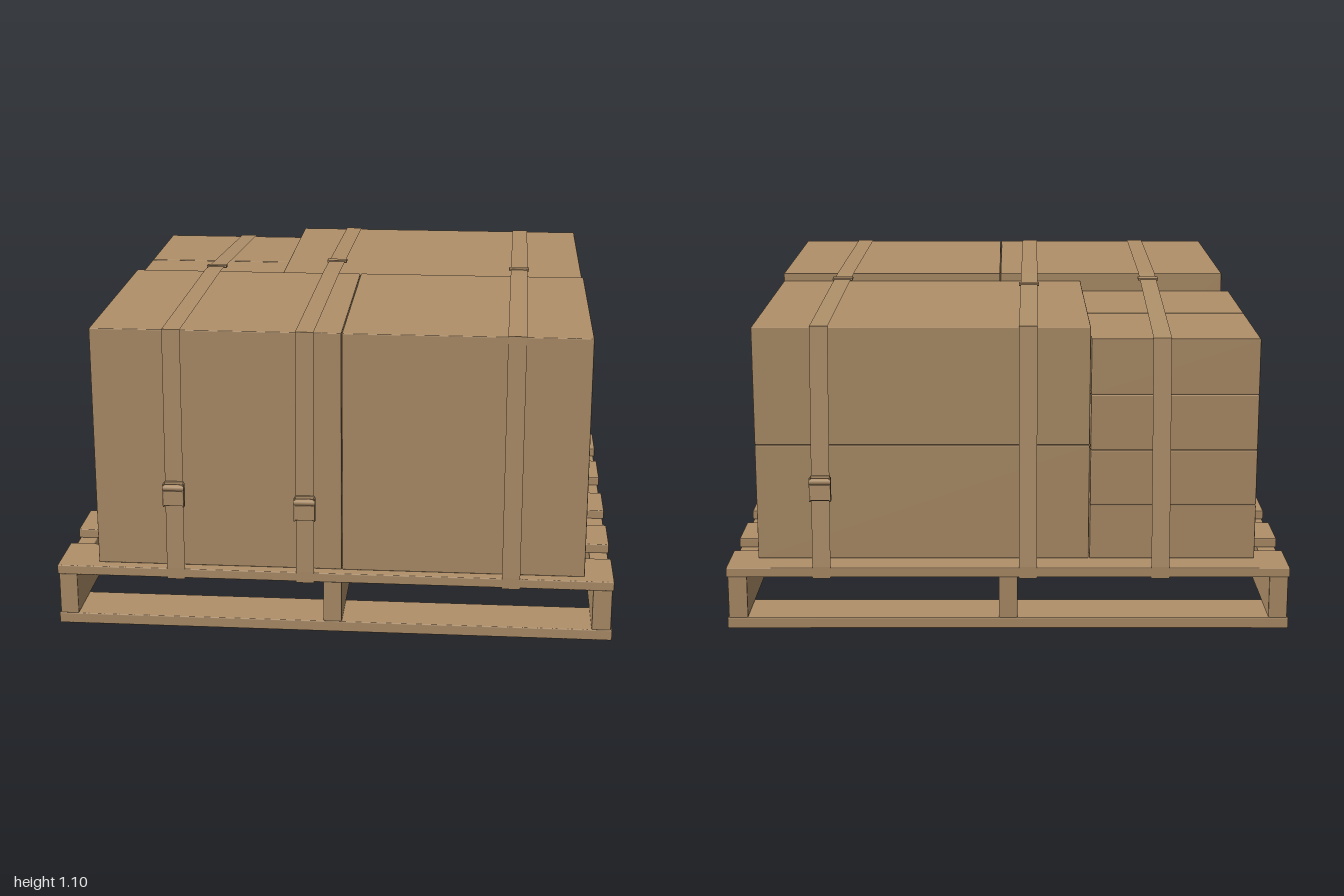
import * as THREE from 'three';
import { RoundedBoxGeometry } from 'three/addons/geometries/RoundedBoxGeometry.js';

const material = new THREE.MeshStandardMaterial({ color: 0xb0906a });
const strapMaterial = new THREE.MeshStandardMaterial({ color: 0xb0906a, side: THREE.DoubleSide });

// Box given by its minimum and maximum on each axis, with slightly worn edges
function block(parent, name, [x0, x1], [y0, y1], [z0, z1], radius = 0.004) {
  const geometry = new RoundedBoxGeometry(x1 - x0, y1 - y0, z1 - z0, 1, radius);
  const mesh = new THREE.Mesh(geometry, material);
  mesh.name = name;
  mesh.position.set((x0 + x1) / 2, (y0 + y1) / 2, (z0 + z1) / 2);
  parent.add(mesh);
  return mesh;
}

// Flat band of constant width in x that follows [x, y, z] centre points
function ribbon(parent, name, points, width) {
  const positions = [];
  const corner = ([x, y, z], side) => [x + side * width / 2, y, z];
  for (let i = 0; i < points.length - 1; i++) {
    const a = corner(points[i], -1), b = corner(points[i], 1);
    const c = corner(points[i + 1], 1), d = corner(points[i + 1], -1);
    positions.push(...a, ...b, ...c, ...a, ...c, ...d);
  }
  const geometry = new THREE.BufferGeometry();
  geometry.setAttribute('position', new THREE.Float32BufferAttribute(positions, 3));
  geometry.computeVertexNormals();
  const mesh = new THREE.Mesh(geometry, strapMaterial);
  mesh.name = name;
  parent.add(mesh);
}

// Ratchet buckle: base, two side cheeks, spindle and handle, facing +z
function buckle(parent, x, y, z, turn, tilt) {
  const group = new THREE.Group();
  group.name = 'ratchetBuckle';
  block(group, 'buckleBase', [-0.034, 0.034], [-0.045, 0.045], [-0.004, 0.006], 0.002);
  for (const s of [-1, 1]) {
    block(group, 'buckleCheek', [s * 0.035 - 0.003, s * 0.035 + 0.003], [-0.045, 0.04], [-0.004, 0.022], 0.002);
  }
  block(group, 'buckleHandle', [-0.034, 0.034], [-0.04, 0.015], [0.014, 0.022], 0.002);
  const spindle = new THREE.Mesh(new THREE.CylinderGeometry(0.012, 0.012, 0.076, 12), material);
  spindle.name = 'buckleSpindle';
  spindle.rotation.z = Math.PI / 2;
  spindle.position.set(0, 0.025, 0.014);
  group.add(spindle);
  group.position.set(x, y, z);
  group.rotation.set(tilt, turn, 0, 'YXZ');
  parent.add(group);
}

function buildPallet() {
  const pallet = new THREE.Group();
  pallet.name = 'pallet';
  const span = [-0.995, 0.995];
  for (const z of [[0.785, 0.98], [-0.105, 0.095], [-0.995, -0.8]]) {
    block(pallet, 'bottomBoard', span, [0, 0.04], z);
  }
  for (const x of [[-0.99, -0.924], [-0.034, 0.032], [0.922, 0.99]]) {
    block(pallet, 'stringer', x, [0.038, 0.192], [-0.992, 0.978]);
  }
  const deck = [[-0.995, -0.795], [-0.655, -0.455], [-0.305, -0.095], [0.08, 0.28], [0.43, 0.63], [0.765, 0.98]];
  for (const z of deck) block(pallet, 'deckBoard', span, [0.19, 0.225], z);
  return pallet;
}

function buildCargo() {
  const cargo = new THREE.Group();
  cargo.name = 'cartons';
  // Two tall cartons at the front
  block(cargo, 'tallCarton', [-0.85, 0.029], [0.225, 1.1], [0.062, 0.94]);
  block(cargo, 'tallCarton', [0.031, 0.892], [0.225, 1.1], [0.06, 0.942]);
  // Two wide cartons stacked behind them
  block(cargo, 'wideCarton', [-0.288, 0.892], [0.228, 0.646], [-0.898, 0.058]);
  block(cargo, 'wideCarton', [-0.288, 0.892], [0.648, 1.07], [-0.898, 0.058]);
  // Two columns of four small cartons
  for (const z of [[-0.898, -0.418], [-0.415, 0.06]]) {
    for (let i = 0; i < 4; i++) {
      const y = 0.228 + i * 0.2005;
      block(cargo, 'smallCarton', [-0.88, -0.291], [y, y + 0.199], z);
    }
  }
  return cargo;
}

function buildStraps() {
  const straps = new THREE.Group();
  straps.name = 'straps';
  // front x, back x, height of the rear edge, z of the end of the upper band
  const layout = [
    [-0.562, -0.537, 1.033, -0.04],
    [-0.098, -0.07, 1.074, -0.165],
    [0.632, 0.657, 1.074, -0.06],
  ];
  for (const [xf, xb, rear, end] of layout) {
    const xAt = (z) => xf + (xb - xf) * (0.945 - z) / 1.845;
    ribbon(straps, 'strap', [
      [xf, 0.188, 0.9], [xf, 0.188, 0.984], [xf, 0.23, 0.984], [xf, 1.103, 0.945],
      [xAt(0.06), 1.103, 0.06], [xb, rear, -0.902],
      [xb, 0.23, -0.998], [xb, 0.188, -0.998], [xb, 0.188, -0.9],
    ], 0.064);
    // Flat joining clip on top, following the slope of the band
    const t = (0.06 - end) / 0.962;
    const clip = block(straps, 'strapClip', [-0.039, 0.039], [-0.005, 0.005], [-0.017, 0.017], 0.002);
    clip.position.set(xAt(end), 1.103 + (rear - 1.103) * t, end);
    clip.rotation.x = -Math.atan2(1.103 - rear, 0.962);
  }
  buckle(straps, -0.562, 0.51, 0.973, 0, -0.045);
  buckle(straps, -0.098, 0.47, 0.975, 0, -0.045);
  buckle(straps, 0.657, 0.51, -0.968, Math.PI, -0.113);
  return straps;
}

export function createModel() {
  const model = new THREE.Group();
  model.name = 'loadedPallet';
  model.add(buildPallet(), buildCargo(), buildStraps());
  return model;
}
